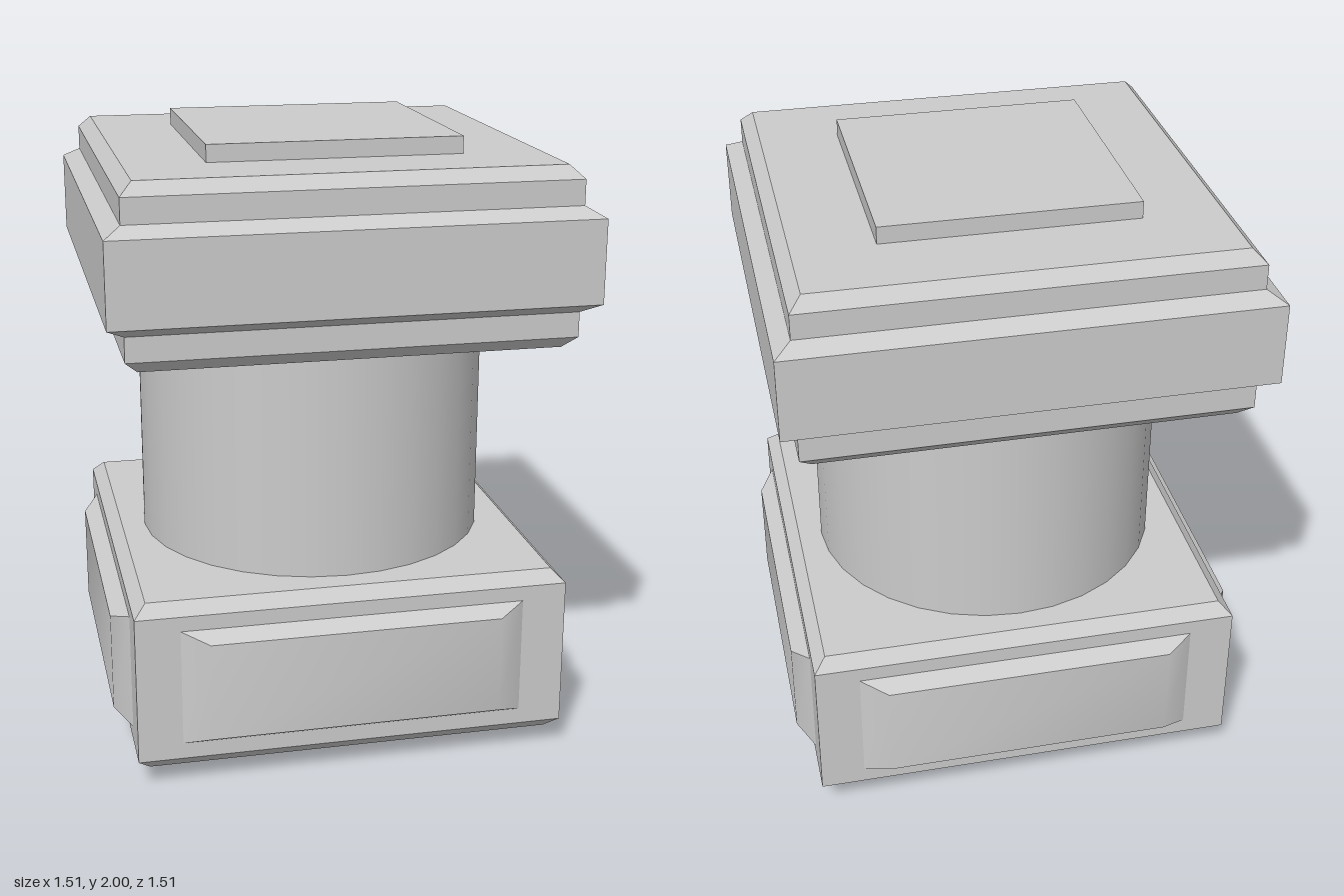
import * as THREE from 'three';
import { toCreasedNormals } from 'three/addons/utils/BufferGeometryUtils.js';

const material = new THREE.MeshStandardMaterial({ color: 0xcccccc });

function addMesh(parent, name, geometry, y = 0) {
  const mesh = new THREE.Mesh(geometry, material);
  mesh.name = name;
  mesh.position.y = y;
  parent.add(mesh);
  return mesh;
}

// Square block turned from a profile of [half width, height], bottom to top
function squareBlock(profile) {
  const points = profile.map(([half, y]) => new THREE.Vector2(half * Math.SQRT2, y));
  const geometry = new THREE.LatheGeometry(points, 4, Math.PI / 4).toNonIndexed();
  geometry.computeVertexNormals();
  return geometry;
}

// Raised panel whose outer face is smaller than its base
function raisedPanel(width, height, depth, outerWidth, outerHeight) {
  const geometry = new THREE.BoxGeometry(width, height, depth);
  const p = geometry.attributes.position;
  for (let i = 0; i < p.count; i++) {
    if (p.getZ(i) > 0) {
      p.setX(i, Math.sign(p.getX(i)) * outerWidth / 2);
      p.setY(i, Math.sign(p.getY(i)) * outerHeight / 2);
    }
  }
  return toCreasedNormals(geometry, 0.55);
}

export function createModel() {
  const model = new THREE.Group();
  model.name = 'pedestal';

  // Foot and top plates
  addMesh(model, 'footPlate', new THREE.BoxGeometry(0.81, 0.06, 0.81), 0.03);
  addMesh(model, 'topPlate', new THREE.BoxGeometry(0.81, 0.055, 0.81), 1.9725);

  // Lower block with chamfered rims
  addMesh(model, 'baseBlock', squareBlock([
    [0, 0.06], [0.66, 0.06], [0.7, 0.1], [0.7, 0.59], [0.66, 0.63], [0, 0.63],
  ]));

  // Raised panel on each side of the lower block
  const panel = raisedPanel(1.12, 0.39, 0.055, 0.94, 0.325);
  panel.translate(0, 0, 0.7255);
  for (let i = 0; i < 4; i++) {
    addMesh(model, 'basePanel' + (i + 1), panel, 0.347).rotation.y = i * Math.PI / 2;
  }

  // Round column
  addMesh(model, 'column', new THREE.CylinderGeometry(0.582, 0.582, 0.745, 32), 1.0025);

  // Upper block with a wide band around its middle
  addMesh(model, 'capitalBlock', squareBlock([
    [0, 1.375], [0.66, 1.375], [0.7, 1.415], [0.7, 1.495], [0.755, 1.528],
    [0.755, 1.793], [0.7, 1.825], [0.7, 1.905], [0.66, 1.945], [0, 1.945],
  ]));

  return model;
}
